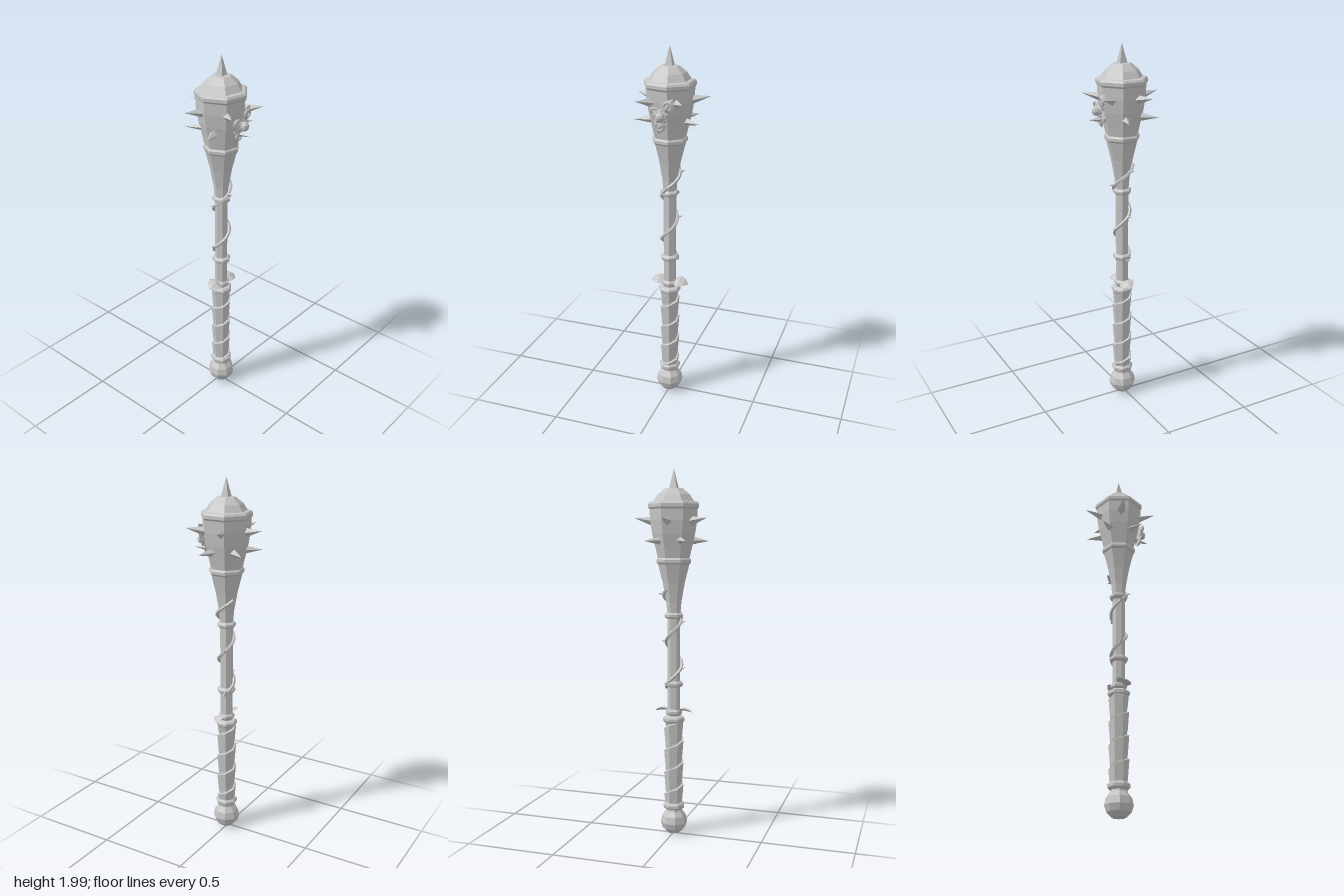
import * as THREE from 'three';

const SIDES = 7;

export function createModel() {
  const root = new THREE.Group();
  root.name = 'spikedClub';
  const club = new THREE.Group();
  club.name = 'club';
  club.position.z = 0.01;
  root.add(club);

  const grey = new THREE.MeshStandardMaterial({ color: 0xc6c6c6, flatShading: true });
  grey.name = 'light grey';

  const add = (name, geo, parent = club) => {
    const mesh = new THREE.Mesh(geo, grey);
    mesh.name = name;
    parent.add(mesh);
    return mesh;
  };

  // Faceted turned part from [radius, height] pairs; by default one corner on the -x side
  const turned = (name, profile, sides = SIDES, turn = -Math.PI / 2) => {
    const geo = new THREE.LatheGeometry(profile.map(([r, y]) => new THREE.Vector2(r, y)), sides);
    geo.rotateY(turn);
    return add(name, geo);
  };
  const ring = (name, y0, y1, r, inner) => {
    const b = (y1 - y0) * 0.28;
    turned(name, [[inner, y0 - 0.004], [r - 0.008, y0], [r, y0 + b], [r, y1 - b], [r - 0.008, y1], [inner, y1 + 0.004]]);
  };

  // Loft: rings of equal point count joined in order
  const loft = (rings) => {
    const n = rings[0].length, index = [];
    for (let i = 0; i < rings.length - 1; i++) {
      for (let j = 0; j < n; j++) {
        const a = i * n + j, b = i * n + (j + 1) % n;
        index.push(a, b, a + n, b, b + n, a + n);
      }
    }
    const geo = new THREE.BufferGeometry();
    geo.setAttribute('position', new THREE.Float32BufferAttribute(rings.flat(2), 3));
    geo.setIndex(index);
    geo.computeVertexNormals();
    return geo;
  };

  // Leaf along +x with a raised midrib, arched, its tip rising or drooping by bend
  const leafGeo = (length, width, thick, bend) => loft(
    [[0, 0.3], [0.2, 0.8], [0.45, 1], [0.75, 0.7], [1, 0.01]].map(([t, w]) => {
      const x = t * length, y = bend * t * t + thick * Math.sin(Math.PI * t);
      const h = thick * w, z = width * w / 2;
      return [[x, y + h, 0], [x, y, z], [x, y - h * 0.5, 0], [x, y, -z]];
    }));

  // Pommel, grip and shaft
  turned('pommel', [[0, 0.006], [0.036, 0.01], [0.063, 0.036], [0.0745, 0.07], [0.066, 0.108], [0.046, 0.135], [0.04, 0.16]],
    8, Math.PI / 8);
  turned('gripCore', [[0.044, 0.15], [0.044, 0.66]]);
  turned('shaft', [[0.035, 0.65], [0.035, 1.22], [0.042, 1.3], [0.06, 1.4], [0.088, 1.51]]);
  ring('gripLowerRing', 0.148, 0.182, 0.06, 0.04);
  ring('gripUpperRing', 0.64, 0.672, 0.06, 0.03);
  ring('shaftLowerRing', 0.838, 0.866, 0.051, 0.03);
  ring('shaftUpperRing', 1.212, 1.24, 0.051, 0.03);

  // Spiral binding on the grip, each turn flaring out over the next
  const wrapRings = [];
  const clampY = (y) => THREE.MathUtils.clamp(y, 0.165, 0.655);
  const pitch = 0.125;
  for (let i = 0; i <= 5 * SIDES; i++) {
    const a = -Math.PI / 2 + i * 2 * Math.PI / SIDES;
    const y = 0.05 + pitch * i / SIDES;
    const s = Math.sin(a), c = Math.cos(a);
    wrapRings.push([[0.04, 0.114], [0.055, 0.11], [0.046, 0], [0.04, 0]]
      .map(([r, dy]) => [r * s, clampY(y + dy), r * c]));
  }
  add('gripBinding', loft(wrapRings));

  // Head: barrel-shaped body, bands and faceted dome
  ring('headLowerBand', 1.502, 1.536, 0.095, 0.075);
  turned('headBody', [[0.084, 1.52], [0.1, 1.59], [0.117, 1.66], [0.128, 1.73], [0.131, 1.8]]);
  ring('headUpperBand', 1.79, 1.828, 0.138, 0.108);
  turned('dome', [[0.113, 1.828], [0.088, 1.866], [0.048, 1.899], [0, 1.902]]);

  // Four-sided spikes: one on top, five in each of two staggered rows
  const topSpike = add('topSpike', new THREE.ConeGeometry(0.029, 0.102, 4).rotateY(Math.PI / 4));
  topSpike.position.y = 1.949;
  const spike = (name, angle, base, tip, y, radius, rise) => {
    const length = tip - base;
    const mesh = add(name, new THREE.ConeGeometry(radius, length, 4).translate(0, length / 2, 0));
    mesh.rotation.order = 'YXZ';
    mesh.rotation.set(Math.PI / 2 - rise, angle, 0);
    mesh.position.set(base * Math.sin(angle), y, base * Math.cos(angle));
  };
  for (let i = 0; i < 5; i++) {
    const a = i * 2 * Math.PI / 5;
    spike('upperSpike', a + Math.PI, 0.09, 0.212, 1.724, 0.03, 0.17);
    spike('lowerSpike', a, 0.075, 0.19, 1.628, 0.027, -0.03);
  }

  // Thorny vine climbing the shaft
  const vinePoint = (y) => {
    const a = (y - 1.01) / 0.25 * 2 * Math.PI;
    const r = 0.042 + Math.max(0, y - 1.22) * 0.11;
    return new THREE.Vector3(r * Math.sin(a), y, r * Math.cos(a));
  };
  const vinePath = [];
  for (let y = 0.83; y < 1.38; y += 0.02) vinePath.push(vinePoint(y));
  add('vine', new THREE.TubeGeometry(new THREE.CatmullRomCurve3(vinePath), 60, 0.009, 5));
  for (const y of [0.94, 1.085, 1.19, 1.26, 1.34]) {
    const p = vinePoint(y);
    const thorn = add('vineThorn', new THREE.ConeGeometry(0.009, 0.036, 4).translate(0, 0.014, 0));
    thorn.position.copy(p);
    const dir = new THREE.Vector3(p.x, 0.012, p.z).normalize();
    thorn.quaternion.setFromUnitVectors(new THREE.Vector3(0, 1, 0), dir);
  }

  // Pair of broad leaves above the grip
  ring('leafCollar', 0.68, 0.712, 0.045, 0.03);
  for (const side of [0, 1]) {
    const leaf = add('guardLeaf', leafGeo(0.09, 0.085, 0.012, -0.004));
    leaf.rotation.set(0.3, side * Math.PI, 0);
    leaf.position.set(side ? -0.018 : 0.018, 0.7, 0);
  }

  // Rose with three curled leaves on the front of the head
  const rose = new THREE.Group();
  rose.name = 'rose';
  rose.position.set(0, 1.675, 0.106);
  rose.rotation.x = 0.12;
  club.add(rose);
  for (const [angle, length, width] of [[0.96, 0.108, 0.07], [2.7, 0.066, 0.06], [4.5, 0.102, 0.07]]) {
    add('roseLeaf', leafGeo(length, width, 0.009, 0.004).rotateX(Math.PI / 2).rotateZ(angle), rose).position.z = 0.009;
    const curl = add('leafCurl', new THREE.TorusGeometry(0.02, 0.007, 5, 8, 4.4), rose);
    curl.position.set(length * 0.58 * Math.cos(angle), length * 0.58 * Math.sin(angle), 0.023);
    curl.rotation.z = angle - 2.2;
  }
  for (let i = 0; i < 5; i++) {
    const geo = leafGeo(0.043, 0.042, 0.007, 0.008).rotateX(Math.PI / 2);
    geo.rotateZ(0.31 + i * 2 * Math.PI / 5);
    add('rosePetal', geo, rose).position.z = 0.022;
  }
  add('roseRim', new THREE.TorusGeometry(0.025, 0.008, 5, 9), rose).position.z = 0.031;
  add('roseBud', new THREE.SphereGeometry(0.025, 8, 6), rose).position.z = 0.042;

  return root;
}
